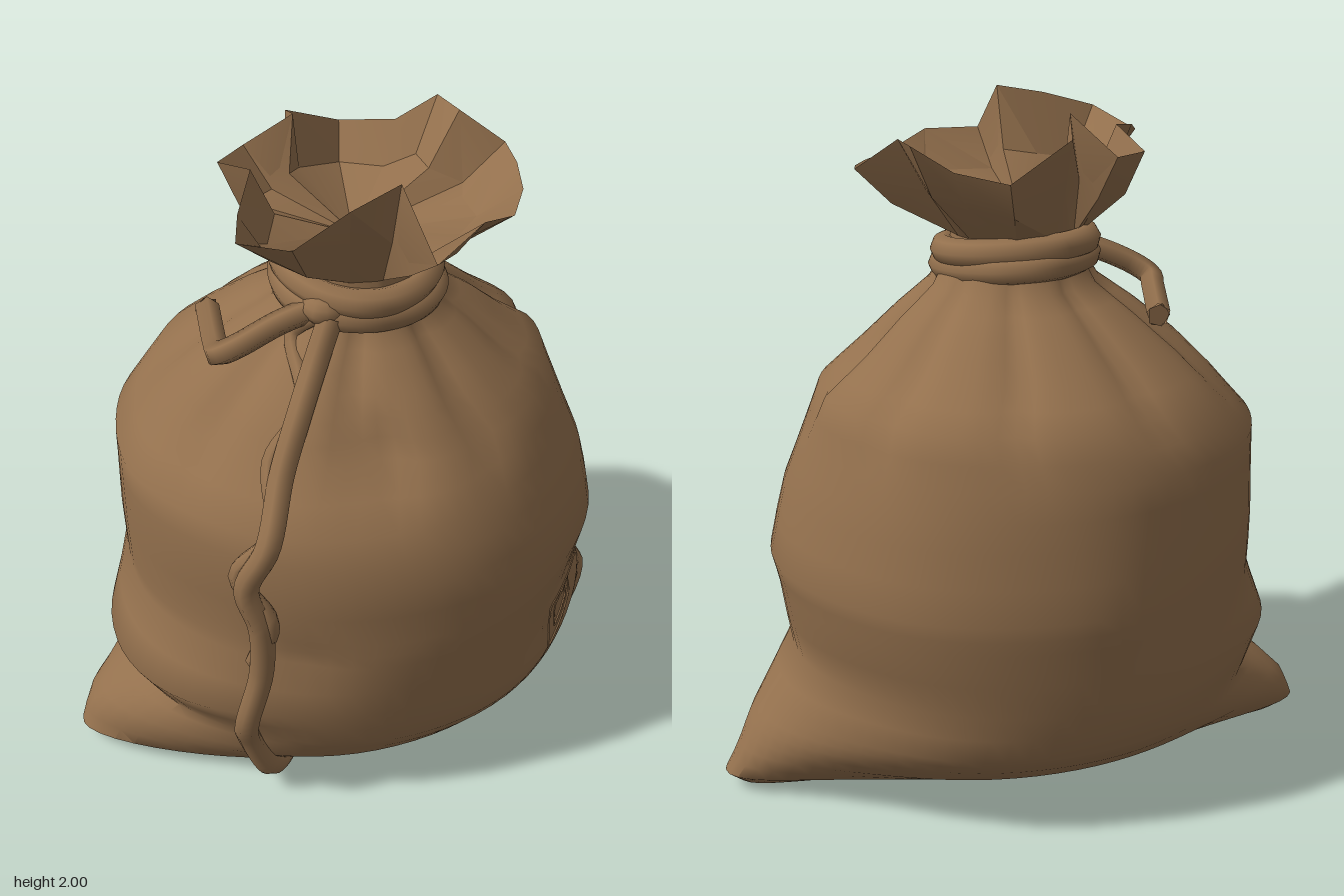
import * as THREE from 'three';
import { toCreasedNormals } from 'three/addons/utils/BufferGeometryUtils.js';

const V = (x, y, z) => new THREE.Vector3(x, y, z);
const burlap = new THREE.MeshStandardMaterial({ color: 0x93704d, side: THREE.DoubleSide });
burlap.name = 'burlap brown';

// Sack profile: y, left x, right x, front z, back z, left ear, right ear
const ROWS = [
  [0.01, -0.66, 0.68, 0.33, -0.22, 0.22, 0.2],
  [0.05, -0.7, 0.7, 0.43, -0.33, 0.23, 0.225],
  [0.14, -0.7, 0.71, 0.54, -0.49, 0.19, 0.165],
  [0.21, -0.7, 0.72, 0.59, -0.57, 0.12, 0.12],
  [0.27, -0.7, 0.71, 0.625, -0.615, 0.04, 0.09],
  [0.42, -0.72, 0.68, 0.655, -0.655, 0.08, 0.01],
  [0.63, -0.72, 0.725, 0.675, -0.67, 0, 0],
  [0.72, -0.72, 0.745, 0.68, -0.675, 0, 0],
  [0.92, -0.72, 0.69, 0.68, -0.655, 0, 0],
  [1.08, -0.72, 0.635, 0.62, -0.625, 0, 0],
  [1.22, -0.59, 0.585, 0.52, -0.575, 0, 0],
  [1.32, -0.49, 0.46, 0.45, -0.46, 0, 0],
  [1.42, -0.37, 0.35, 0.355, -0.33, 0, 0],
  [1.5, -0.26, 0.245, 0.28, -0.21, 0, 0],
  [1.58, -0.21, 0.19, 0.25, -0.16, 0, 0],
];

function rowAt(y) {
  let i = 0;
  while (i < ROWS.length - 2 && y > ROWS[i + 1][0]) i++;
  const t = THREE.MathUtils.clamp((y - ROWS[i][0]) / (ROWS[i + 1][0] - ROWS[i][0]), 0, 1);
  return ROWS[i].map((v, k) => THREE.MathUtils.lerp(v, ROWS[i + 1][k], t));
}

// Point on the cloth at angle a (0 = +x, quarter turn = front), with pleats and dents
function cloth(a, y) {
  const [, xl, xr, zf, zb, el, er] = rowAt(y);
  const c = Math.cos(a), s = Math.sin(a);
  const step = THREE.MathUtils.smoothstep;
  const pleat = step(y, 1.05, 1.42) * (1 - step(y, 1.46, 1.6));
  const dent = (a0, y0, w, h, d) => d * Math.exp(-(((a - a0) / w) ** 2) - ((y - y0) / h) ** 2);
  let k = 1 - 0.11 * pleat * (1 - Math.abs(Math.sin(4.5 * a + 0.5 * Math.sin(a)))) ** 2;
  k += step(y, 0.1, 0.4) * 0.008 * Math.sin(5 * a + 6 * y) * Math.sin(3 * a - 8 * y);
  k -= dent(1.8, 1.25, 0.13, 0.1, 0.1) + dent(2.2, 0.65, 0.16, 0.05, 0.03);
  k -= dent(5.6, 0.45, 0.5, 0.06, 0.02) + dent(0.45, 0.28, 0.35, 0.07, 0.02);
  // bulge beside the cord
  k += dent(2.6, 0.43, 0.35, 0.11, 0.07);
  const round = s > 0 ? s ** 1.07 : s;
  const tip = Math.abs(c) ** 6;
  return V((xl + xr) / 2 + k * (xr - xl) / 2 * c + (c > 0 ? er : -el) * tip, y,
    (zf + zb) / 2 + k * (zf - zb) / 2 * round - 0.11 * tip * (1 - step(y, 0.05, 0.32)));
}

// Point on the front half at a given x and y, lifted forward off the cloth
function onFront(x, y, lift) {
  let lo = 0, hi = Math.PI;
  for (let i = 0; i < 30; i++) {
    const m = (lo + hi) / 2;
    if (cloth(m, y).x > x) lo = m; else hi = m;
  }
  return cloth(lo, y).add(V(0, 0, lift));
}

// Skin between closed rings of points
function loft(rings, crease) {
  const pos = [], n = rings[0].length;
  for (let i = 0; i < rings.length - 1; i++) for (let j = 0; j < n; j++) {
    const k = (j + 1) % n;
    const [a, b, c, d] = [rings[i][j], rings[i][k], rings[i + 1][k], rings[i + 1][j]];
    for (const p of [a, d, c, a, c, b]) pos.push(p.x, p.y, p.z);
  }
  const g = new THREE.BufferGeometry();
  g.setAttribute('position', new THREE.Float32BufferAttribute(pos, 3));
  return toCreasedNormals(g, crease);
}

function sackBody() {
  const N = 72, ys = [];
  ROWS.forEach((r, i) => {
    ys.push(r[0]);
    if (i < ROWS.length - 1) ys.push((r[0] + ROWS[i + 1][0]) / 2);
  });
  const rings = ys.map(y => Array.from({ length: N }, (_, j) => cloth(j / N * Math.PI * 2, y)));
  // slightly hollow underside
  const base = s => rings[0].map(p => V(p.x * s, 0.01 + 0.03 * (1 - s), 0.05 + (p.z - 0.05) * s));
  return loft([base(0.01), base(0.6), ...rings], 0.95);
}

// Gathered mouth above the tie: outer funnel, ragged rim, inner funnel
function ruffle() {
  const rim = [
    [0.45, 1.84, 0.03], [0.43, 1.83, 0.13], [0.38, 1.82, 0.25], [0.29, 1.82, 0.36], [0.16, 1.87, 0.43],
    [-0.03, 1.85, 0.53], [-0.05, 2.0, 0.37], [-0.2, 1.97, 0.39], [-0.37, 1.92, 0.42], [-0.45, 1.87, 0.25],
    [-0.41, 1.9, 0.17], [-0.31, 1.93, 0.02], [-0.34, 1.88, -0.14], [-0.24, 1.88, -0.2], [-0.13, 1.99, -0.11],
    [-0.1, 1.94, -0.23], [0.09, 1.84, -0.29], [0.22, 1.86, -0.19], [0.33, 1.93, -0.15], [0.34, 1.93, -0.04],
  ].map(p => V(...p));
  const neck = (r, y) => rim.map(p => {
    const a = Math.atan2(p.z - 0.05, p.x);
    return V(-0.02 + r * Math.cos(a), y, 0.05 + r * Math.sin(a));
  });
  const low = neck(0.19, 1.64);
  const mid = rim.map((p, i) => {
    const q = low[i].clone().lerp(p, 0.48), k = i % 2 ? 1.04 : 1.14;
    return V(q.x * k, q.y, 0.05 + (q.z - 0.05) * k);
  });
  const deep = V(-0.03, 1.68, 0.05);
  const inner = mid.map(p => p.clone().lerp(deep, 0.08).add(V(0, 0.015, 0)));
  const bottom = rim.map(p => p.clone().lerp(deep, 0.97));
  return loft([neck(0.2, 1.55), low, mid, rim, inner, bottom], 0.4);
}

const cord = (pts, r, closed = false, sides = 7) => new THREE.TubeGeometry(
  new THREE.CatmullRomCurve3(pts, closed, 'centripetal'), pts.length * 6, r, sides, closed);

// Loop of cord round the neck, lower at the front
function tieLoop(y, r, phase) {
  const pts = Array.from({ length: 16 }, (_, i) => {
    const a = i / 16 * Math.PI * 2, w = r + 0.006 * Math.sin(3 * a + phase);
    return V(-0.02 + w * Math.cos(a), y - 0.012 * Math.cos(a) - 0.018 * Math.sin(a), 0.05 + w * Math.sin(a));
  });
  return cord(pts, 0.042, true, 8);
}

export function createModel() {
  const model = new THREE.Group();
  model.name = 'tiedSack';
  const add = (name, geometry, parent = model) => {
    const m = new THREE.Mesh(geometry, burlap);
    m.name = name;
    parent.add(m);
    return m;
  };
  add('sackBody', sackBody());
  add('gatheredMouth', ruffle());

  // Tie round the neck with a knot
  const tie = new THREE.Group();
  tie.name = 'neckTie';
  model.add(tie);
  add('lowerLoop', tieLoop(1.553, 0.21, 0), tie);
  add('upperLoop', tieLoop(1.602, 0.205, 2), tie);
  const knot = add('knot', new THREE.SphereGeometry(0.06, 10, 8), tie);
  knot.position.set(-0.18, 1.57, 0.19);
  knot.scale.set(1.1, 0.8, 1);

  // Long end hanging clear of the front and tucked under the base: x, y, lift
  const path = [[-0.24, 1.45, 0.025], [-0.33, 1.34, 0.03], [-0.41, 1.22, 0.04], [-0.5, 1.08, 0.05],
    [-0.56, 0.95, 0.07], [-0.53, 0.8, 0.06], [-0.53, 0.62, 0.05], [-0.575, 0.42, 0.03],
    [-0.55, 0.28, 0.03], [-0.48, 0.1, 0.03]];
  add('hangingCord', cord([V(-0.18, 1.55, 0.22), ...path.map(p => onFront(...p)),
    V(-0.41, 0.04, 0.33), V(-0.3, 0.036, 0.22), V(0, 0.036, -0.12)], 0.036), tie);
  // second strand twisted beside it
  add('twistedCord', cord([V(-0.2, 1.56, 0.2), ...path.slice(0, 7).map(([x, y, lift], i) =>
    onFront(x + (i % 2 ? 0.025 : -0.01), y + 0.02, lift * 0.7))], 0.026), tie);

  // Short end bent sharply towards the back
  add('shortCordEnd', cord([V(-0.18, 1.57, 0.18), V(-0.3, 1.535, 0.16), V(-0.42, 1.48, 0.14),
    V(-0.46, 1.45, 0.11), V(-0.45, 1.43, 0.06), V(-0.385, 1.41, -0.17)], 0.036, false, 5), tie);
  const cap = add('cordEndCap', new THREE.CircleGeometry(0.036, 5), tie);
  cap.position.set(-0.385, 1.41, -0.17);
  cap.rotation.y = Math.PI;

  // Sewn patch following the cloth, with raised frames
  const patch = new THREE.Group();
  patch.name = 'sewnPatch';
  model.add(patch);
  const at = (u, v, lift) => onFront(0.5 + 0.225 * u - 0.04 * v, 0.432 + 0.055 * u + 0.295 * v, lift);
  const plate = new THREE.PlaneGeometry(1, 1, 8, 8), p = plate.attributes.position;
  for (let i = 0; i < p.count; i++) {
    const edge = Math.max(Math.abs(p.getX(i)), Math.abs(p.getY(i))) > 0.49;
    const q = at(p.getX(i), p.getY(i), edge ? 0.001 : 0.01);
    p.setXYZ(i, q.x, q.y, q.z);
  }
  plate.computeVertexNormals();
  add('patchCloth', plate, patch);
  for (const h of [0.36, 0.2]) {
    const pts = [];
    for (let s = 0; s < 4; s++) for (let i = 0; i < 4; i++) {
      const t = -h + i * h / 2, [u, v] = [[t, -h], [h, t], [-t, h], [-h, -t]][s];
      pts.push(at(u, v, 0.008));
    }
    add('patchFrame', cord(pts, 0.006, true, 4), patch);
  }
  return model;
}
